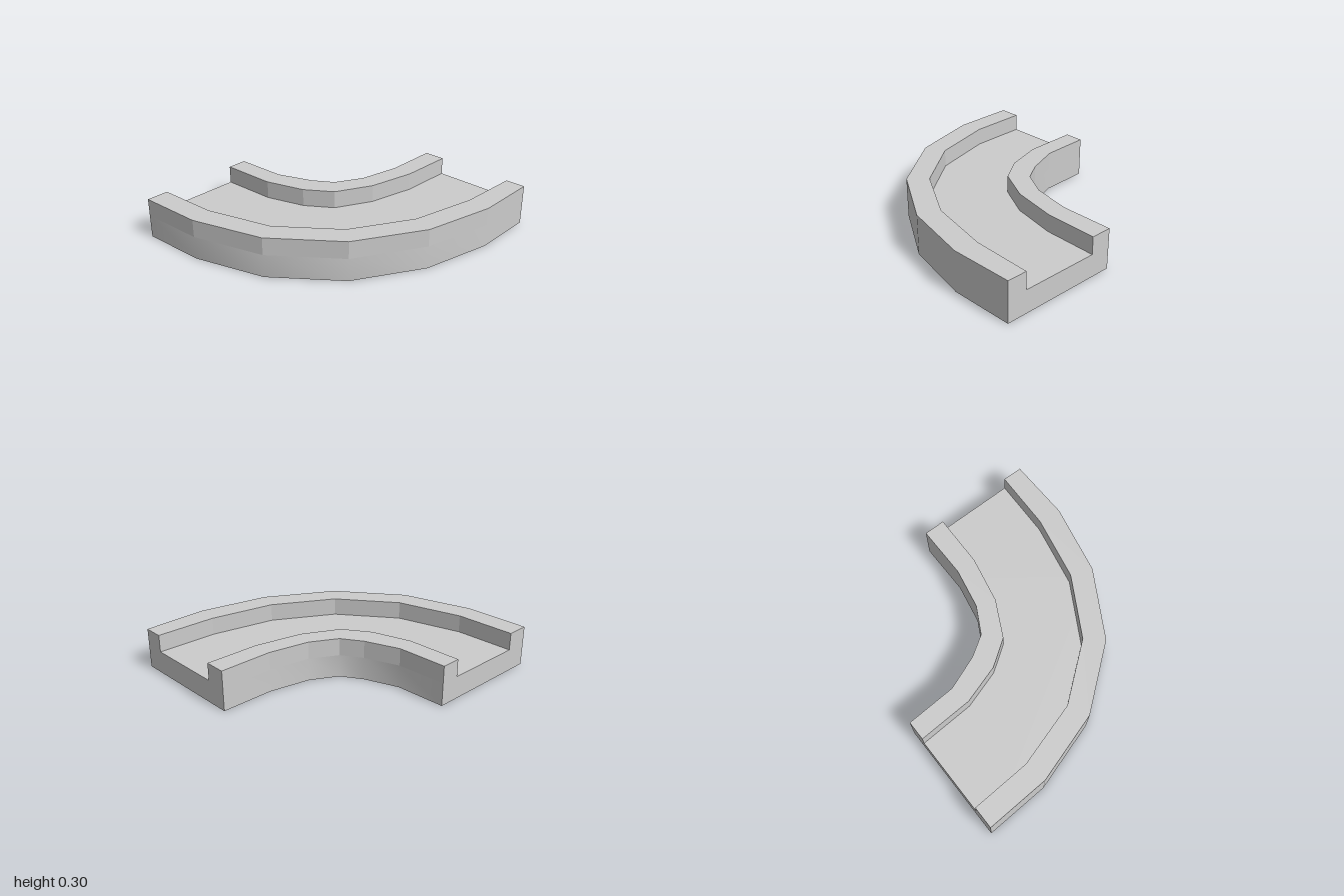
import * as THREE from 'three';
import { toCreasedNormals } from 'three/addons/utils/BufferGeometryUtils.js';

const FLOOR = 0.17, TOP = 0.30;

// Plan curves as [x, z], running from the left-hand end to the rear end
const outerEdge = [[-0.925, 1], [-0.445, 0.98], [0.077, 0.823], [0.525, 0.475], [0.808, -0.01], [0.922, -0.53], [0.917, -1]];
const outerChannel = [[-0.925, 0.835], [-0.48, 0.815], [0, 0.675], [0.4, 0.365], [0.65, -0.07], [0.752, -0.55], [0.768, -1]];
const innerChannel = [[-0.925, 0.245], [-0.515, 0.228], [-0.23, 0.14], [-0.038, 0.01], [0.098, -0.255], [0.17, -0.6], [0.18, -1]];
const innerEdge = [[-0.925, 0.1], [-0.55, 0.083], [-0.298, -0.012], [-0.148, -0.107], [-0.04, -0.305], [0.02, -0.605], [0.022, -1]];

// Solid between two plan curves, from height y0 to y1
function slab(name, a, b, y0, y1, smooth) {
  const outline = [...a, ...[...b].reverse()].map(([x, z]) => new THREE.Vector2(x, -z));
  let geometry = new THREE.ExtrudeGeometry(new THREE.Shape(outline), { depth: y1 - y0, bevelEnabled: false });
  geometry.rotateX(-Math.PI / 2).translate(0, y0, 0);
  if (smooth) geometry = toCreasedNormals(geometry, Math.PI / 4);
  const mesh = new THREE.Mesh(geometry, new THREE.MeshStandardMaterial({ color: 0xcccccc, flatShading: !smooth }));
  mesh.name = name;
  return mesh;
}

export function createModel() {
  const group = new THREE.Group();
  group.name = 'curvedTrack';
  group.add(
    slab('trackBed', outerEdge, innerEdge, 0, FLOOR, true),       // smooth-sided bed
    slab('outerRail', outerEdge, outerChannel, FLOOR, TOP, false), // faceted side walls
    slab('innerRail', innerChannel, innerEdge, FLOOR, TOP, false)
  );
  return group;
}
